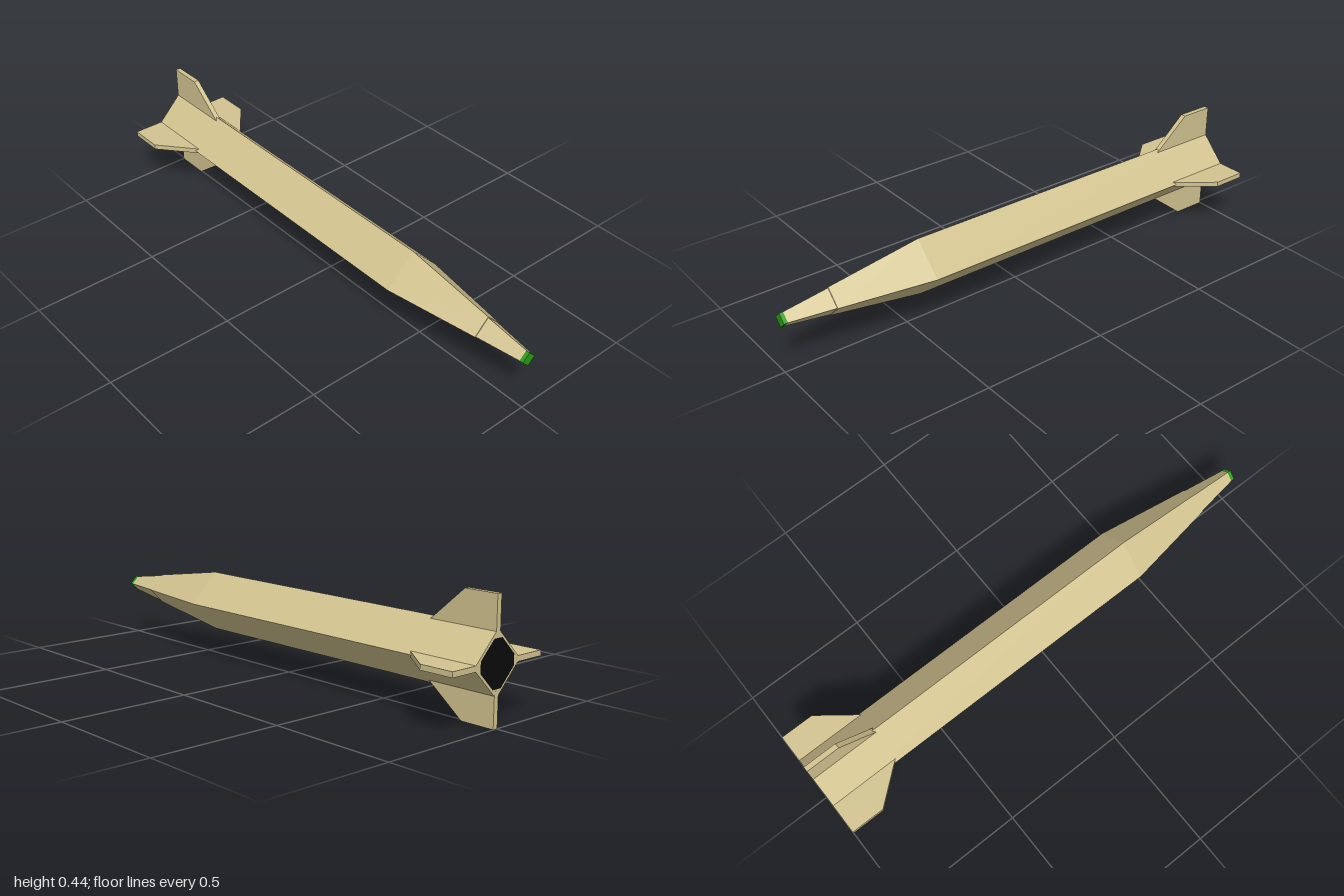
import * as THREE from 'three';

const CX = 0.005, CY = 0.217; // axis of the body

export function createModel() {
  const mat = (name, color) => new THREE.MeshStandardMaterial({ name, color, flatShading: true });
  const tan = mat('tan', 0xd2c38f);
  const green = mat('green', 0x289a12);
  const black = mat('black', 0x0a0a0a);

  const model = new THREE.Group();
  model.name = 'missile';
  const add = (name, geometry, material) => {
    const mesh = new THREE.Mesh(geometry, material);
    mesh.name = name;
    mesh.position.set(CX, CY, 0);
    model.add(mesh);
    return mesh;
  };

  // Four-sided solid along z from [radius, z] rings
  const diamond = (rings) => {
    const points = rings.map(([r, z]) => new THREE.Vector2(r, z));
    const g = new THREE.LatheGeometry(points, 4).rotateX(Math.PI / 2).toNonIndexed();
    g.computeVertexNormals();
    return g;
  };

  add('body', diamond([[0, -0.999], [0.116, -0.999], [0.116, 0.44]]), tan);
  add('noseCone', diamond([[0.116, 0.44], [0.058, 0.81], [0.055, 0.811]]), tan);
  add('noseTip', diamond([[0.055, 0.811], [0.029, 0.985]]), tan);
  add('fuse', diamond([[0.029, 0.985], [0.029, 1], [0, 1]]), green);

  // Exhaust: diamond with clipped corners, on the rear face
  const a = 0.084, b = 0.02;
  const outline = [[a, -b], [a, b], [b, a], [-b, a], [-a, b], [-a, -b], [-b, -a], [b, -a]];
  const exhaustShape = new THREE.Shape(outline.map(([x, y]) => new THREE.Vector2(x, y)));
  const exhaust = add('exhaust', new THREE.ShapeGeometry(exhaustShape).rotateY(Math.PI), black);
  exhaust.position.z = -1;

  // Swept tail fins; the span differs slightly because the body sits off centre
  const fin = (name, span, angle) => {
    const shape = new THREE.Shape([
      new THREE.Vector2(0.09, -0.7), new THREE.Vector2(0.09, -0.9995),
      new THREE.Vector2(span, -0.9995), new THREE.Vector2(span, -0.866),
      new THREE.Vector2(0.108, -0.725),
    ]);
    const g = new THREE.ExtrudeGeometry(shape, { depth: 0.02, bevelEnabled: false });
    g.translate(0, 0, -0.01).rotateX(Math.PI / 2); // span on x, length on z
    add(name, g, tan).rotation.z = angle;
  };
  fin('leftFin', 0.217, 0);
  fin('topFin', 0.228, Math.PI / 2);
  fin('rightFin', 0.227, Math.PI);
  fin('bottomFin', 0.217, -Math.PI / 2);

  return model;
}
